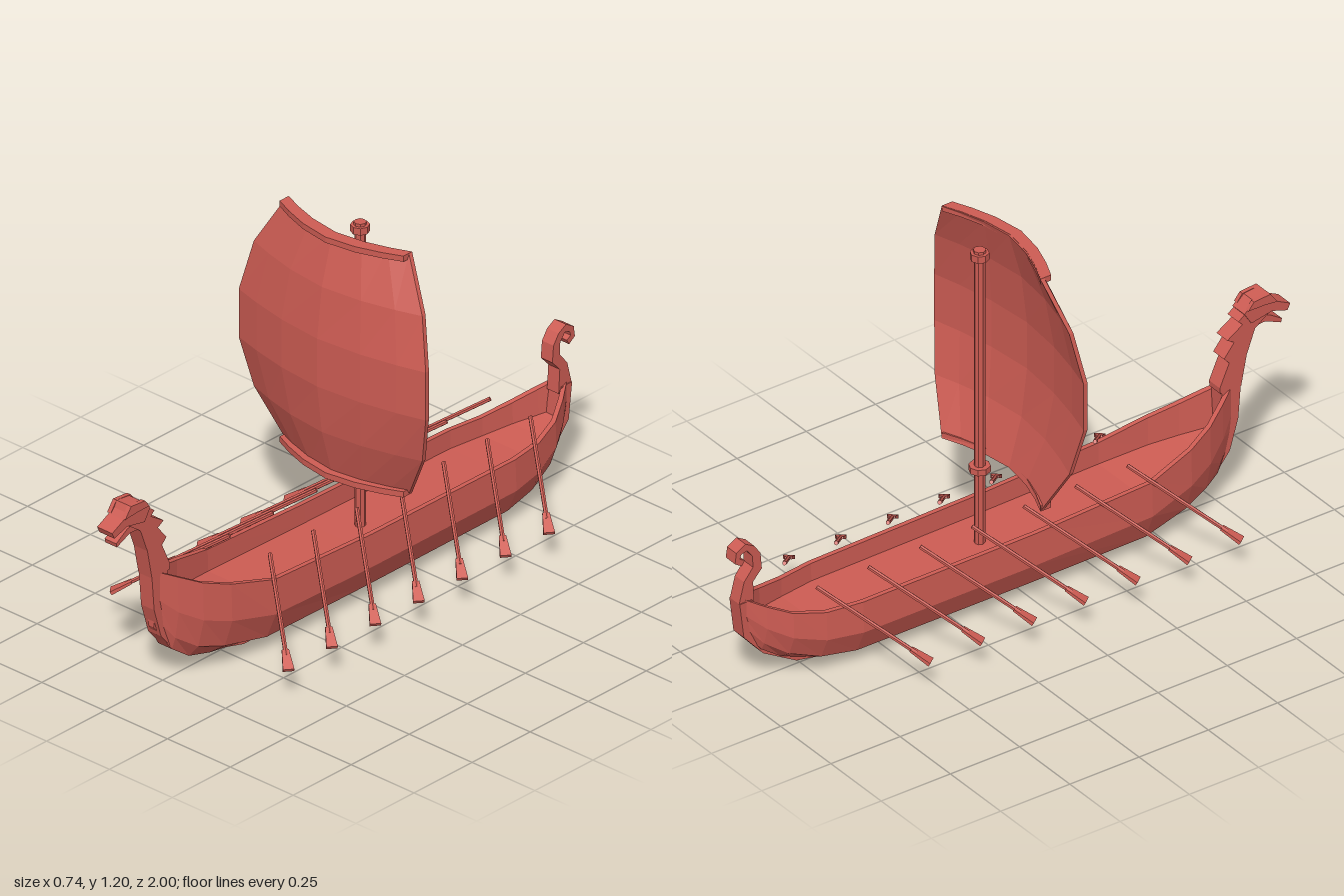
import * as THREE from 'three';

const material = new THREE.MeshStandardMaterial({ color: 0xcd5c53, flatShading: true });

function add(parent, geometry, name) {
  const mesh = new THREE.Mesh(geometry, material);
  mesh.name = name;
  parent.add(mesh);
  return mesh;
}

// Skin closed rings of [x, y, z] points and cap both ends
function loft(rings, caps) {
  const n = rings[0].length;
  const pts = rings.flat();
  const index = [];
  for (let r = 0; r < rings.length - 1; r++) {
    for (let i = 0; i < n; i++) {
      const a = r * n + i, b = r * n + (i + 1) % n;
      index.push(a, b, b + n, a, b + n, a + n);
    }
  }
  const last = (rings.length - 1) * n;
  for (const [a, b, c] of caps) {
    index.push(a, c, b, last + a, last + b, last + c);
  }
  // turn the faces outward if the enclosed volume is negative
  let volume = 0;
  const [p, q, s] = [0, 1, 2].map(() => new THREE.Vector3());
  for (let i = 0; i < index.length; i += 3) {
    p.fromArray(pts[index[i]]);
    q.fromArray(pts[index[i + 1]]);
    s.fromArray(pts[index[i + 2]]);
    volume += p.dot(q.cross(s));
  }
  if (volume < 0) index.reverse();
  const g = new THREE.BufferGeometry();
  g.setAttribute('position', new THREE.Float32BufferAttribute(pts.flat(), 3));
  g.setIndex(index);
  const flat = g.toNonIndexed();
  flat.computeVertexNormals();
  return flat;
}

// Cap triangles for a ring made of two matching strips of k points
function stripCaps(k) {
  const caps = [];
  for (let i = 0; i < k - 1; i++) {
    const a = i, b = i + 1, c = 2 * k - 2 - i, d = 2 * k - 1 - i;
    caps.push([a, b, c], [a, c, d]);
  }
  return caps;
}

// Side outline in (z, y), given a width across x
function slab(points, width) {
  const shape = new THREE.Shape(points.map(([z, y]) => new THREE.Vector2(z, y)));
  const g = new THREE.ExtrudeGeometry(shape, { depth: width, bevelEnabled: false });
  g.translate(0, 0, -width / 2);
  g.rotateY(-Math.PI / 2);
  return g;
}

// Hull stations: z, half width, rim height, bottom height
const STATIONS = [
  [0.80, 0.02, 0.39, 0.20], [0.74, 0.055, 0.36, 0.11], [0.67, 0.09, 0.325, 0.06],
  [0.58, 0.12, 0.295, 0.035], [0.42, 0.146, 0.255, 0.01], [0, 0.147, 0.237, 0.01],
  [-0.62, 0.142, 0.23, 0.01], [-0.74, 0.125, 0.23, 0.03], [-0.84, 0.097, 0.25, 0.07],
  [-0.91, 0.06, 0.28, 0.12], [-0.97, 0.02, 0.31, 0.20],
];

function hull() {
  const rings = STATIONS.map(([z, w, top, low]) => {
    const h = top - low;
    const inner = Math.max(w - 0.02, 0.004);
    const floor = 0.17 + 0.5 * (top - 0.23);
    const outside = [[w * 0.97, top], [w, low + h * 0.53], [w * 0.75, low + h * 0.17], [Math.min(0.03, w * 0.5), low]];
    const inside = [[inner, top], [inner * 0.99, floor], [inner * 0.5, floor], [inner * 0.1, floor]];
    const mirror = (strip) => strip.map(([x, y]) => [-x, y]).reverse();
    return [...outside, ...mirror(outside), ...inside.map(([x, y]) => [-x, y]), ...inside.slice().reverse()]
      .map(([x, y]) => [x, y, z]);
  });
  return loft(rings, stripCaps(8));
}

// Sail rows: height, half width, centre z, edge z
const SAIL = [
  [0.39, 0.245, 0.02, -0.045], [0.55, 0.335, 0.065, -0.005], [0.71, 0.372, 0.085, 0.02],
  [0.87, 0.372, 0.085, 0.02], [1.035, 0.335, 0.065, -0.005], [1.195, 0.245, 0.02, -0.045],
];

// Curved sheet: rows of front points paired with back points
function sheet(rows, thickness) {
  const columns = [-1, -0.75, -0.42, 0, 0.42, 0.75, 1];
  const rings = rows.map(([y, w, mid, edge]) => {
    const front = columns.map((u) => [u * w, y, mid + (edge - mid) * Math.pow(Math.abs(u), 1.7)]);
    const back = front.map(([x, , z]) => [x, y, z - thickness]).reverse();
    return [...front, ...back];
  });
  return loft(rings, stripCaps(columns.length));
}

function oar(side, z) {
  const group = new THREE.Group();
  group.name = side > 0 ? 'leftOar' : 'rightOar';
  const start = new THREE.Vector3(side * 0.08, 0.3, z);
  const end = new THREE.Vector3(side * 0.353, 0.1, z + 0.215);
  const length = start.distanceTo(end);
  const shaft = add(group, new THREE.CylinderGeometry(0.007, 0.007, length - 0.05, 6), 'oarShaft');
  shaft.position.y = (length - 0.05) / 2;
  const blade = add(group, new THREE.CylinderGeometry(0.024, 0.015, 0.07, 4, 1, false, Math.PI / 4), 'oarBlade');
  blade.position.y = length - 0.035;
  blade.scale.z = 0.35;
  // blade lies flat, along the shaft's slope
  const y = end.clone().sub(start).normalize();
  const x = new THREE.Vector3(0, 1, 0).cross(y).normalize();
  group.quaternion.setFromRotationMatrix(new THREE.Matrix4().makeBasis(x, y, x.clone().cross(y)));
  group.position.copy(start);
  return group;
}

export function createModel() {
  const model = new THREE.Group();
  model.name = 'longship';
  add(model, hull(), 'hull');

  // Keel running from the bow post to the stern post
  add(model, slab([
    [0.825, 0.39], [0.815, 0.27], [0.785, 0.17], [0.735, 0.11], [0.65, 0.06], [0.43, 0],
    [-0.62, 0], [-0.78, 0.03], [-0.9, 0.1], [-0.97, 0.18], [-0.985, 0.3],
    [-0.94, 0.3], [-0.93, 0.2], [-0.87, 0.13], [-0.76, 0.07], [-0.61, 0.03],
    [0.42, 0.03], [0.63, 0.09], [0.7, 0.14], [0.74, 0.2], [0.76, 0.27], [0.755, 0.39],
  ], 0.052), 'keel');

  // Bow neck with a stepped mane
  add(model, slab([
    [0.825, 0.38], [0.845, 0.48], [0.875, 0.56], [0.93, 0.6], [0.9, 0.645], [0.855, 0.635],
    [0.815, 0.605], [0.83, 0.59], [0.775, 0.555], [0.8, 0.54], [0.763, 0.495],
    [0.782, 0.475], [0.748, 0.4], [0.75, 0.38],
  ], 0.054), 'neck');

  // Beast head
  const head = new THREE.Group();
  head.name = 'figurehead';
  add(head, slab([
    [0.86, 0.585], [0.935, 0.6], [0.99, 0.582], [1, 0.603], [0.95, 0.628],
    [0.935, 0.645], [0.925, 0.665], [0.87, 0.658], [0.835, 0.625],
  ], 0.06), 'upperJaw');
  add(head, slab([
    [0.88, 0.565], [0.915, 0.568], [0.972, 0.543], [0.975, 0.556], [0.93, 0.585], [0.88, 0.6],
  ], 0.046), 'lowerJaw');
  for (const side of [-1, 1]) {
    const brow = add(head, slab([[0.95, 0.63], [0.925, 0.665], [0.865, 0.66], [0.845, 0.635], [0.9, 0.635]], 0.014), 'brow');
    brow.position.x = side * 0.029;
  }
  model.add(head);

  // Curled stern post
  add(model, slab([
    [-0.93, 0.28], [-0.935, 0.36], [-0.903, 0.395], [-0.908, 0.45], [-0.93, 0.482], [-0.962, 0.5],
    [-0.995, 0.48], [-1, 0.445], [-0.975, 0.428], [-0.965, 0.445], [-0.982, 0.455], [-0.977, 0.47],
    [-0.957, 0.475], [-0.937, 0.45], [-0.935, 0.41], [-0.967, 0.37], [-0.985, 0.3],
  ], 0.046), 'sternCurl');

  // Mast with cap and collar
  const mast = new THREE.Group();
  mast.name = 'mast';
  mast.position.z = -0.1;
  for (const [name, radius, low, high] of [
    ['mastPole', 0.017, 0.165, 1.17], ['mastCap', 0.029, 1.155, 1.178],
    ['mastTip', 0.019, 1.178, 1.187], ['mastCollar', 0.033, 0.42, 0.44],
  ]) {
    add(mast, new THREE.CylinderGeometry(radius, radius, high - low, 8), name).position.y = (low + high) / 2;
  }
  model.add(mast);

  // Billowing sail with a lip along its top and bottom
  add(model, sheet(SAIL, 0.014), 'sail');
  for (const [name, low, high] of [['bottomYard', 0.389, 0.408], ['topYard', 1.177, 1.196]]) {
    add(model, sheet([[low, 0.246, 0.05, -0.02], [high, 0.246, 0.05, -0.02]], 0.038), name);
  }

  // Seven oars on each side
  for (let i = 0; i < 7; i++) {
    for (const side of [-1, 1]) model.add(oar(side, 0.375 - i * 0.187));
  }
  return model;
}
